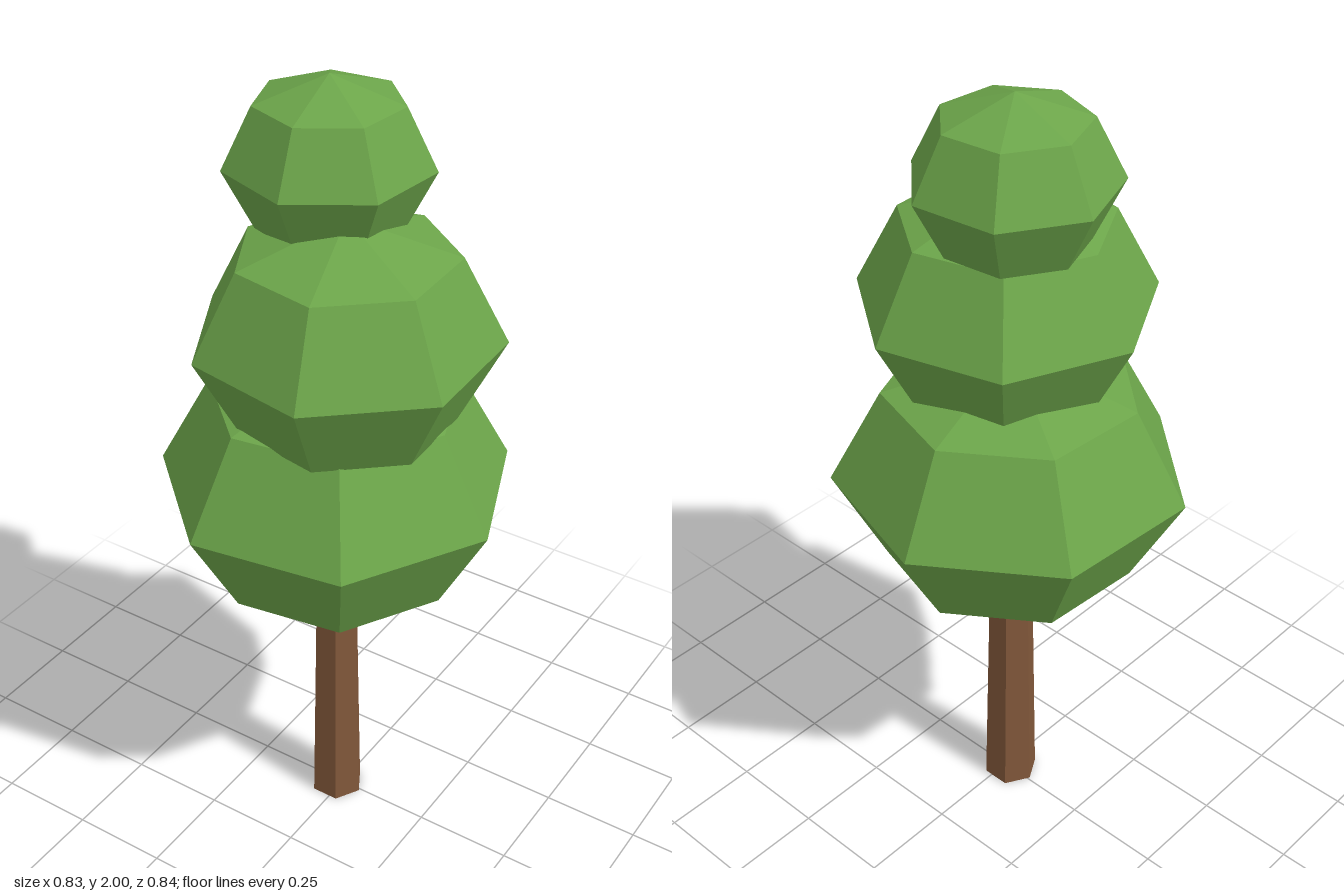
import * as THREE from 'three';

export function createModel() {
  const tree = new THREE.Group();
  tree.name = 'tree';

  const leafGreen = new THREE.MeshStandardMaterial({ color: 0x6ca54a, flatShading: true });
  leafGreen.name = 'leaf green';
  const barkBrown = new THREE.MeshStandardMaterial({ color: 0x82583a, flatShading: true });
  barkBrown.name = 'bark brown';

  // Tapered six-sided trunk, running up into the lowest foliage
  const trunkHeight = 1;
  const trunk = new THREE.Mesh(new THREE.CylinderGeometry(0.049, 0.07, trunkHeight, 6), barkBrown);
  trunk.name = 'trunk';
  trunk.position.set(-0.014, trunkHeight / 2, 0.006);
  trunk.rotation.y = Math.PI / 2;
  tree.add(trunk);

  // Three squashed seven-sided foliage balls, each slightly offset and turned
  const foliage = [
    { name: 'lowerFoliage', centre: [-0.014, 1.01, 0.006], radius: 0.432, halfHeight: 0.333, turn: 0.379 },
    { name: 'middleFoliage', centre: [0.046, 1.438, 0.054], radius: 0.36, halfHeight: 0.288, turn: 0.044 },
    { name: 'topFoliage', centre: [-0.052, 1.8, -0.029], radius: 0.24, halfHeight: 0.2, turn: -0.108 },
  ];
  for (const { name, centre, radius, halfHeight, turn } of foliage) {
    const ball = new THREE.Mesh(new THREE.SphereGeometry(radius, 7, 4), leafGreen);
    ball.name = name;
    ball.position.set(...centre);
    ball.scale.y = halfHeight / radius;
    ball.rotation.y = turn;
    tree.add(ball);
  }

  return tree;
}
